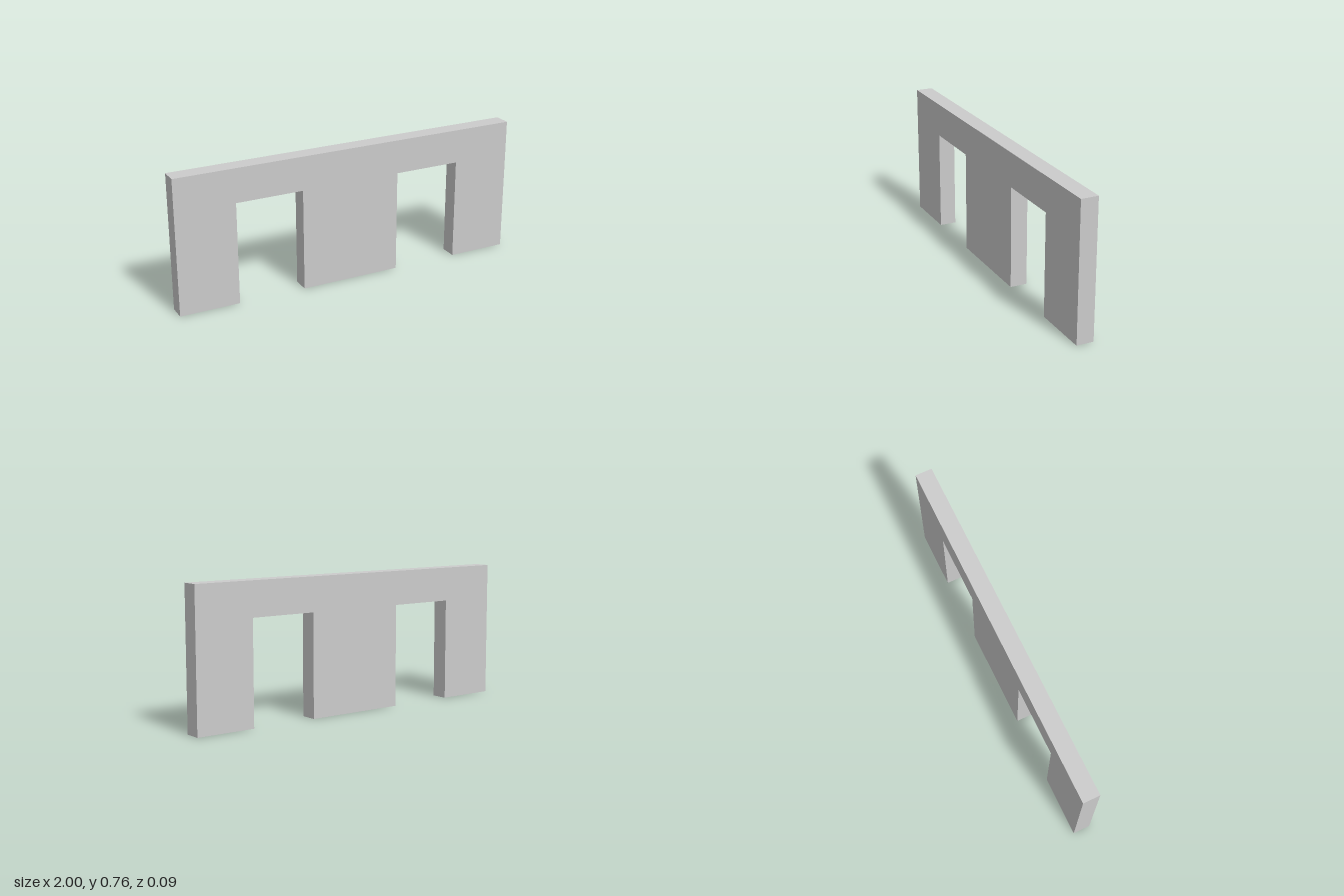
import * as THREE from 'three';

const HEIGHT = 0.762;
const THICKNESS = 0.095;
const DOOR = { inner: 0.286, outer: 0.665, top: 0.572 };

export function createModel() {
  const model = new THREE.Group();
  model.name = 'wallWithTwoDoorways';

  // Wall outline, with a doorway notched into the bottom edge on each side
  const { inner, outer, top } = DOOR;
  const rightHalf = [[inner, 0], [inner, top], [outer, top], [outer, 0], [1, 0], [1, HEIGHT]];
  const leftHalf = rightHalf.map(([x, y]) => [-x, y]).reverse();
  const outline = new THREE.Shape([...rightHalf, ...leftHalf].map(([x, y]) => new THREE.Vector2(x, y)));

  // Extrude to the wall's thickness, centred on z = 0
  const geometry = new THREE.ExtrudeGeometry(outline, { depth: THICKNESS, bevelEnabled: false });
  geometry.translate(0, 0, -THICKNESS / 2);

  const wall = new THREE.Mesh(geometry, new THREE.MeshStandardMaterial({ color: 0xcccccc, flatShading: true }));
  wall.name = 'wall';
  model.add(wall);
  return model;
}
